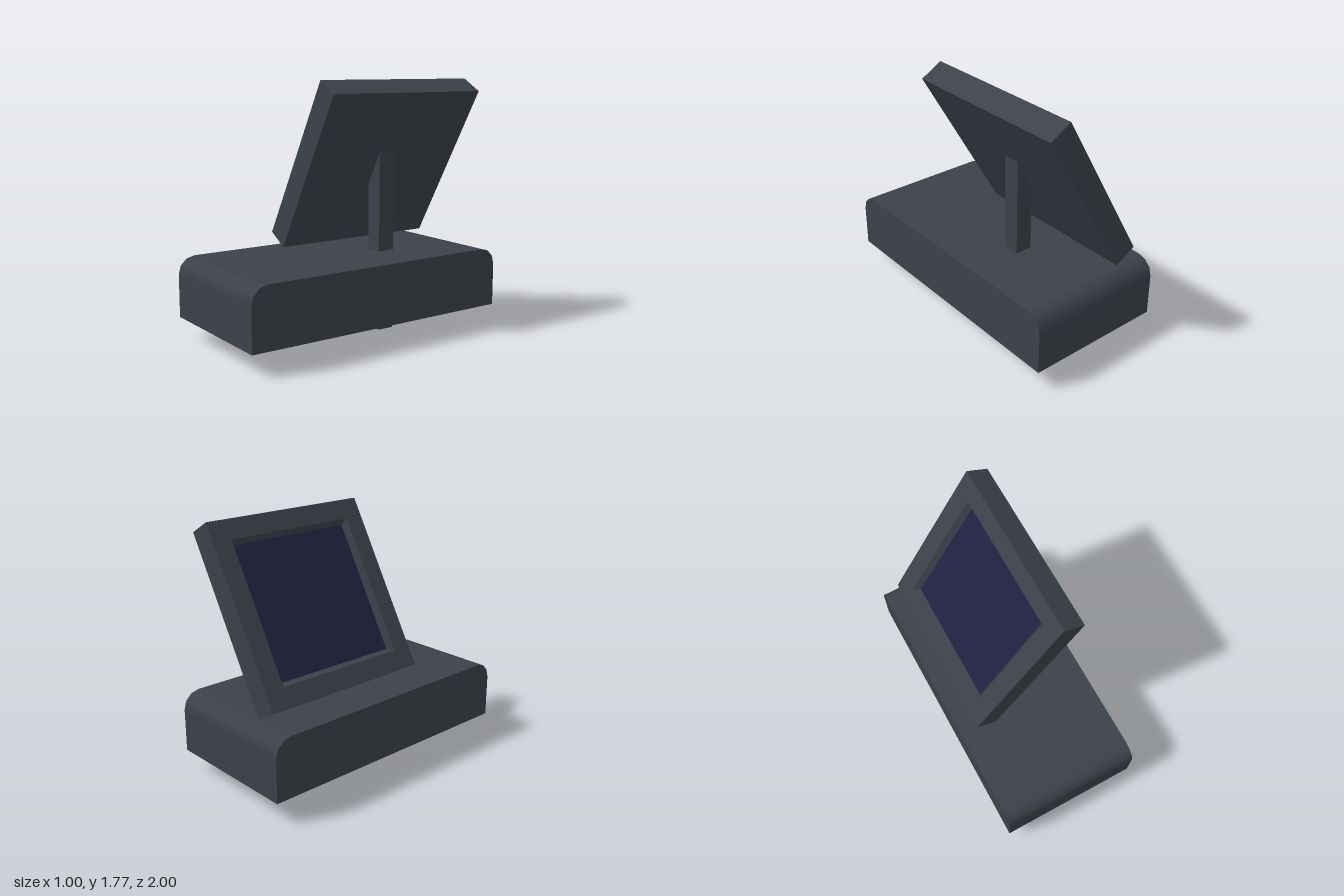
import * as THREE from 'three';

const body = new THREE.MeshStandardMaterial({ name: 'charcoal body', color: 0x3c414a, side: THREE.DoubleSide });
const glass = new THREE.MeshStandardMaterial({ name: 'navy screen', color: 0x212140 });

function add(parent, name, geometry, material) {
  const mesh = new THREE.Mesh(geometry, material);
  mesh.name = name;
  parent.add(mesh);
  return mesh;
}

// Hollow base, open underneath, with rounded top edges at front and back
function createBase() {
  const base = new THREE.Group();
  base.name = 'base';
  const halfX = 0.5, bottom = 0.15, top = 0.57, r = 0.12, steps = 3;

  // Profile from the front foot over the top to the back foot: [z, y, normal angle]
  const profile = [[1, bottom, 0]];
  for (const side of [1, -1]) {
    for (let i = 0; i <= steps; i++) {
      const a = (i / steps) * Math.PI / 2 + (side < 0 ? Math.PI / 2 : 0);
      profile.push([side * (1 - r) + r * Math.cos(a), top - r + r * Math.sin(a), a]);
    }
  }
  profile.push([-1, bottom, Math.PI]);

  const positions = [], normals = [], index = [];
  profile.forEach(([z, y, a], i) => {
    for (const x of [-halfX, halfX]) {
      positions.push(x, y, z);
      normals.push(0, Math.sin(a), Math.cos(a));
    }
    const k = i * 2;
    if (i < profile.length - 1) index.push(k, k + 1, k + 3, k, k + 3, k + 2);
  });
  const cover = new THREE.BufferGeometry();
  cover.setAttribute('position', new THREE.Float32BufferAttribute(positions, 3));
  cover.setAttribute('normal', new THREE.Float32BufferAttribute(normals, 3));
  cover.setIndex(index);
  add(base, 'baseCover', cover, body);

  // Flat side walls
  const outline = new THREE.Shape(profile.map(([z, y]) => new THREE.Vector2(z, y)));
  for (const side of [1, -1]) {
    const wall = new THREE.ShapeGeometry(outline);
    wall.rotateY(side * Math.PI / 2);
    wall.translate(side * halfX, 0, 0);
    add(base, side > 0 ? 'leftWall' : 'rightWall', wall, body);
  }
  return base;
}

// Square post, open at the foot, its top cut to meet the tilted panel
function createPost() {
  const geometry = new THREE.BoxGeometry(0.125, 1, 0.125);
  geometry.translate(0.078, 0.5, -0.2975);
  const p = geometry.attributes.position;
  for (let i = 0; i < p.count; i++) {
    if (p.getY(i) > 0.5) p.setY(i, 1.02 + p.getX(i) * Math.sqrt(3));
  }
  const index = Array.from(geometry.index.array);
  index.splice(18, 6); // remove the underside
  geometry.setIndex(index);
  geometry.clearGroups();
  const flat = geometry.toNonIndexed();
  flat.computeVertexNormals();
  const post = new THREE.Mesh(flat, body);
  post.name = 'post';
  return post;
}

// Square display with a bevelled recess, leaning back 30 degrees
function createDisplay() {
  const display = new THREE.Group();
  display.name = 'display';
  const half = 0.6235, depth = 0.173, opening = 0.4875, floor = 0.4575, recess = 0.04;

  const rings = [
    [0, -depth / 2], [half, -depth / 2], [half, depth / 2],
    [opening, depth / 2], [floor, depth / 2 - recess],
  ].map(([h, y]) => new THREE.Vector2(h * Math.SQRT2, y));
  const lathe = new THREE.LatheGeometry(rings, 4, Math.PI / 4);
  lathe.rotateX(Math.PI / 2);
  const frame = lathe.toNonIndexed();
  frame.computeVertexNormals();
  add(display, 'displayFrame', frame, body);

  const screen = add(display, 'screen', new THREE.PlaneGeometry(floor * 2, floor * 2), glass);
  screen.position.z = depth / 2 - recess;

  display.rotation.set(0, -Math.PI / 2, -Math.PI / 6, 'ZYX');
  display.position.set(-0.0025, 1.1875, -0.3025);
  return display;
}

export function createModel() {
  const model = new THREE.Group();
  model.name = 'displayStand';
  model.add(createBase(), createPost(), createDisplay());
  return model;
}
